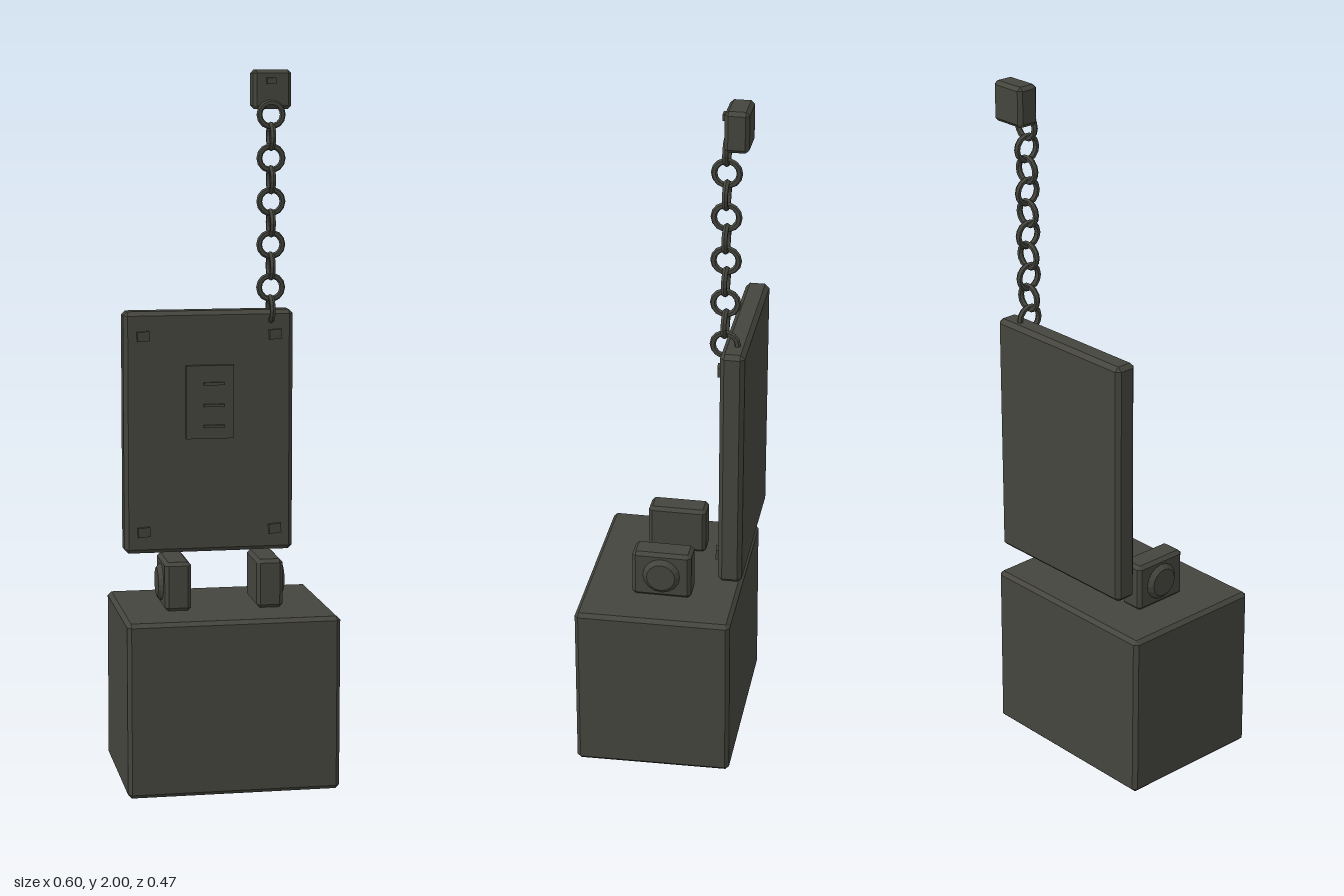
import * as THREE from 'three';
import { ConvexGeometry } from 'three/addons/geometries/ConvexGeometry.js';

// Box with every edge cut flat by c; warp may nudge each corner point
function chamferBox(w, h, d, c, warp) {
  const pts = [];
  for (const x of [-1, 1]) for (const y of [-1, 1]) for (const z of [-1, 1]) {
    for (let axis = 0; axis < 3; axis++) {
      const cut = [0, 1, 2].map((i) => (i === axis ? 0 : c));
      const p = new THREE.Vector3(x * (w / 2 - cut[0]), y * (h / 2 - cut[1]), z * (d / 2 - cut[2]));
      if (warp) warp(p, x, y, z);
      pts.push(p);
    }
  }
  return new ConvexGeometry(pts);
}

export function createModel() {
  const iron = new THREE.MeshStandardMaterial({ color: 0x45453e, flatShading: true });
  iron.name = 'dark iron';
  const model = new THREE.Group();
  model.name = 'chainedWeight';

  const add = (name, geometry, x, y, z, parent = model) => {
    const mesh = new THREE.Mesh(geometry, iron);
    mesh.name = name;
    mesh.position.set(x, y, z);
    parent.add(mesh);
    return mesh;
  };

  // Heavy block, slightly out of square
  add('block', chamferBox(0.595, 0.492, 0.44, 0.011, (p, x, y, z) => {
    if (x > 0) p.x += 0.004 * z;
    if (z > 0) p.y -= y < 0 ? 0.004 : 0;
    if (z > 0) p.z += 0.003;
    if (z < 0 && y < 0) p.z -= 0.003;
  }), 0, 0.25, 0.01);

  // Two lugs on the block with round bosses on their outer sides
  for (const side of [-1, 1]) {
    const lug = new THREE.Group();
    lug.name = side < 0 ? 'rightLug' : 'leftLug';
    lug.position.set(-0.003 + side * 0.131, 0.565, 0.006);
    model.add(lug);
    add('lugBody', chamferBox(0.075, 0.14, 0.17, 0.01), 0, 0, 0, lug);
    const boss = add('lugBoss', new THREE.CylinderGeometry(0.041, 0.055, 0.014, 16), side * 0.043, 0, 0, lug);
    boss.rotation.z = -side * Math.PI / 2;
  }

  // Hanging plate
  add('plate', chamferBox(0.495, 0.705, 0.067, 0.012), -0.003, 0.9625, -0.2015);

  // Raised panel with three bars
  add('panel', new THREE.BoxGeometry(0.139, 0.213, 0.018), -0.002, 1.052, -0.162);
  for (const y of [1.106, 1.043, 0.982]) {
    add('panelBar', new THREE.BoxGeometry(0.06, 0.008, 0.012), 0.009, y, -0.15);
  }

  // Small square rivets at the plate corners
  for (const x of [-0.195, 0.19]) for (const y of [0.675, 1.245]) {
    const rivet = add('rivet', new THREE.BoxGeometry(0.036, 0.028, 0.011), x, y, -0.1605);
    rivet.rotation.set(0, 0.12, 0.06);
  }

  // Chain: links alternate between facing front and facing sideways
  const link = new THREE.TorusGeometry(0.034, 0.0085, 6, 14);
  for (let i = 0; i < 10; i++) {
    const ring = add('chainLink', link, 0.178, 1.873 - i * 0.0617, -0.173);
    ring.rotation.y = i % 2 ? Math.PI / 2 : 0;
  }

  // Anchor at the top of the chain
  add('anchor', chamferBox(0.111, 0.112, 0.065, 0.01), 0.1825, 1.944, -0.2055);
  add('anchorRivet', new THREE.BoxGeometry(0.027, 0.018, 0.011), 0.178, 1.968, -0.167);

  return model;
}
